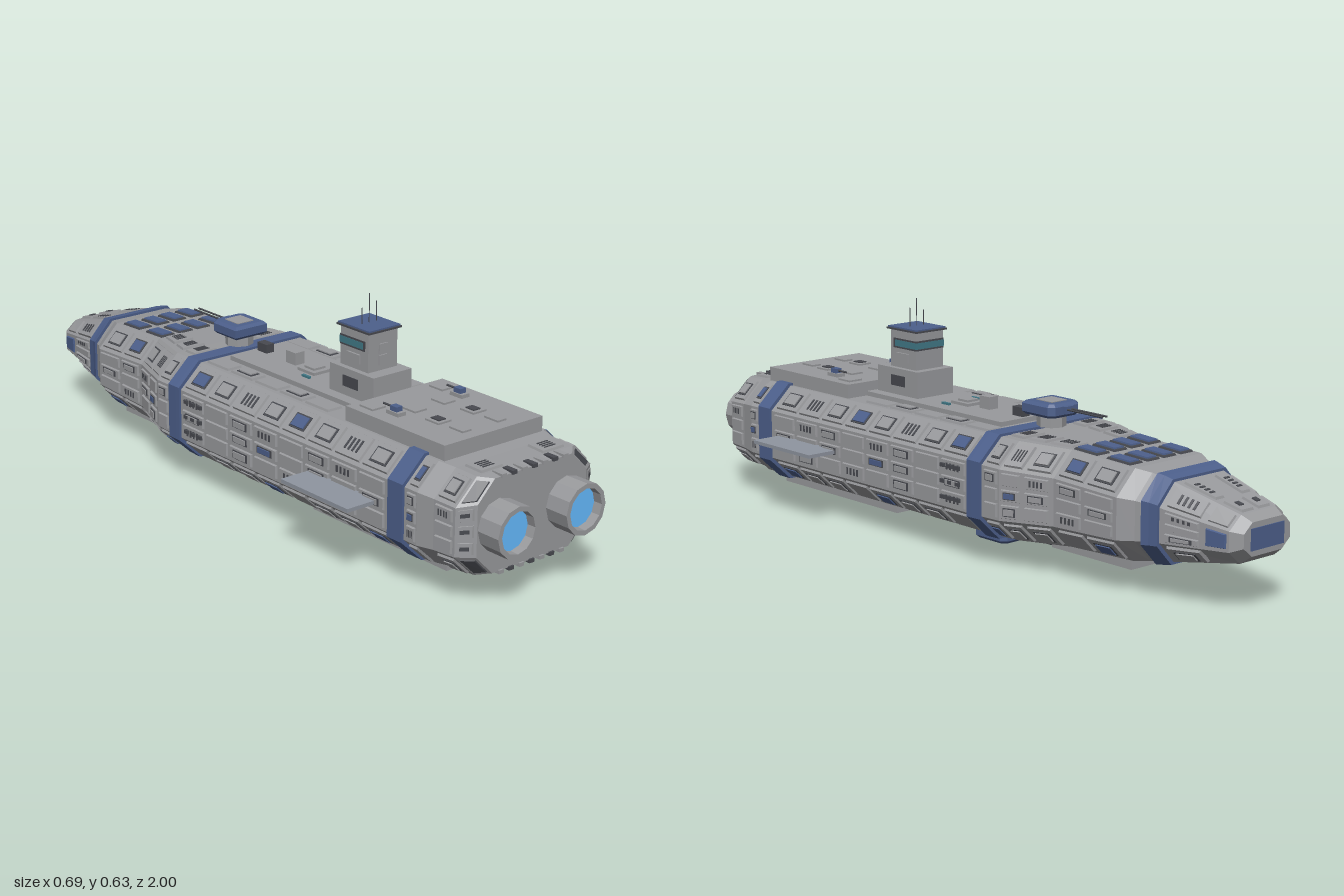
import * as THREE from 'three';
import { mergeGeometries } from 'three/addons/utils/BufferGeometryUtils.js';

const mat = (color, extra = {}) => new THREE.MeshStandardMaterial({ color, flatShading: true, ...extra });
const GREY = mat(0x999a9d), BLUE = mat(0x4d608c), DARK = mat(0x484a50), WING = mat(0x8f95a0);
const GLOW = mat(0x66bbff), TEAL = mat(0x427a88);
const NOZZLE = mat(0x999a9d, { side: THREE.DoubleSide });

// Hull stations: z, half width, bottom, top, corner cut in x, corner cut in y
const STATIONS = [
  [-1.0, 0.085, 0.157, 0.243, 0.03, 0.025], [-0.97, 0.105, 0.135, 0.258, 0.042, 0.035],
  [-0.75, 0.148, 0.1, 0.315, 0.055, 0.06], [-0.71, 0.162, 0.095, 0.322, 0.06, 0.062],
  [-0.67, 0.187, 0.09, 0.33, 0.065, 0.065], [-0.45, 0.192, 0.083, 0.34, 0.065, 0.065],
  [-0.3, 0.243, 0.078, 0.345, 0.07, 0.065], [-0.2, 0.247, 0.077, 0.347, 0.07, 0.065],
  [0.78, 0.247, 0.077, 0.347, 0.07, 0.065], [0.83, 0.237, 0.08, 0.343, 0.07, 0.065],
  [0.9, 0.232, 0.082, 0.34, 0.068, 0.065], [0.93, 0.187, 0.088, 0.336, 0.055, 0.055],
];

// Eight corners of the hull section at z, grown outwards by o
function ring(z, o = 0) {
  let i = 0;
  while (i < STATIONS.length - 2 && z > STATIONS[i + 1][0]) i++;
  const a = STATIONS[i], b = STATIONS[i + 1], t = (z - a[0]) / (b[0] - a[0]);
  let [, w, lo, hi, cx, cy] = a.map((v, k) => v + (b[k] - v) * t);
  w += o; lo -= o; hi += o;
  return [[w, lo + cy], [w, hi - cy], [w - cx, hi], [cx - w, hi],
    [-w, hi - cy], [-w, lo + cy], [cx - w, lo], [w - cx, lo]];
}

// Skin through the sections at the given z values, with end caps
function loft(zs, o = 0) {
  const pos = [], idx = [], n = zs.length;
  zs.forEach(z => ring(z, o).forEach(([x, y]) => pos.push(x, y, z)));
  for (let s = 0; s < n - 1; s++) for (let k = 0; k < 8; k++) {
    const a = s * 8 + k, b = s * 8 + (k + 1) % 8;
    idx.push(a, b, b + 8, a, b + 8, a + 8);
  }
  const e = (n - 1) * 8;
  for (let k = 1; k < 7; k++) idx.push(0, k + 1, k, e, e + k, e + k + 1);
  const g = new THREE.BufferGeometry();
  g.setAttribute('position', new THREE.Float32BufferAttribute(pos, 3));
  g.setIndex(idx);
  g.computeVertexNormals();
  return g;
}

// Raised plate with sloped rim on hull face f (0 left side, 2 top, 4 right side, 6 bottom)
function plate(f, z0, z1, u0, u1, h, rim = 0.004) {
  const g = new THREE.BoxGeometry(1, 1, 1), p = g.attributes.position;
  for (let i = 0; i < p.count; i++) {
    const up = p.getY(i) > 0, sz = Math.sign(p.getZ(i)), su = -Math.sign(p.getX(i));
    const z = (z0 + z1) / 2 + sz * ((z1 - z0) / 2 - (up ? rim : 0));
    const r = ring(z), a = r[f], b = r[(f + 1) % 8];
    const dx = b[0] - a[0], dy = b[1] - a[1], len = Math.hypot(dx, dy);
    const u = (u0 + u1) / 2 + su * ((u1 - u0) / 2 - (up ? rim / len : 0));
    const out = up ? h : -0.006;
    p.setXYZ(i, a[0] + dx * u + dy / len * out, a[1] + dy * u - dx / len * out, z);
  }
  g.computeVertexNormals();
  return g;
}

export function createModel() {
  const ship = new THREE.Group();
  ship.name = 'spaceship';
  const add = (name, geo, m = GREY, parent = ship) => {
    const mesh = new THREE.Mesh(geo, m);
    mesh.name = name;
    parent.add(mesh);
    return mesh;
  };
  // Box from min and max along each axis
  const box = (name, x0, x1, y0, y1, z0, z1, m = GREY, parent = ship) =>
    add(name, new THREE.BoxGeometry(x1 - x0, y1 - y0, z1 - z0)
      .translate((x0 + x1) / 2, (y0 + y1) / 2, (z0 + z1) / 2), m, parent);
  const rod = (name, r, len, x, y, z, alongZ, m = DARK, parent = ship) => {
    const g = new THREE.CylinderGeometry(r, r, len, 8);
    if (alongZ) g.rotateX(Math.PI / 2);
    return add(name, g.translate(x, y, z), m, parent);
  };

  add('hull', loft(STATIONS.map(s => s[0])));
  for (const [z0, z1] of [[-0.775, -0.73], [-0.235, -0.185], [0.68, 0.735]]) {
    add('blueBelt', loft([z0, ...STATIONS.map(s => s[0]).filter(z => z > z0 && z < z1), z1], 0.007), BLUE);
  }

  // Hull plating, mirrored left and right
  const plates = [], blues = [], slots = [];
  const MIRROR = { 0: 4, 1: 3, 7: 5, 2: 2, 6: 6 };
  const both = (list, f, z0, z1, u0, u1, h, rim) => {
    list.push(plate(f, z0, z1, u0, u1, h, rim));
    list.push(plate(MIRROR[f], z0, z1, 1 - u1, 1 - u0, h, rim));
  };
  // Panel with a dark-framed blue window, a vent of dark slots, or a small hatch
  function panel(f, z0, z1, u0, u1, kind) {
    both(plates, f, z0, z1, u0, u1, 0.006);
    const dz = z1 - z0, du = u1 - u0, zc = (z0 + z1) / 2;
    if (kind === 'vent') for (let k = 0; k < 4; k++) {
      const z = z0 + dz * (0.23 + 0.15 * k);
      both(slots, f, z, z + dz * 0.08, u0 + du * 0.25, u1 - du * 0.25, 0.008, 0.001);
    } else if (kind) {
      both(slots, f, zc - dz * 0.32, zc + dz * 0.32, u0 + du * 0.2, u1 - du * 0.2, 0.008, 0.001);
      both(kind === 'window' ? blues : plates, f, zc - dz * 0.27, zc + dz * 0.27, u0 + du * 0.25, u1 - du * 0.25, 0.011, 0.002);
    }
  }
  const bays = [[-0.89, -0.79], [-0.66, -0.56], [-0.55, -0.46], [-0.44, -0.37], [-0.36, -0.305], [-0.295, -0.245]];
  for (let z = -0.175; z < 0.6; z += 0.106) bays.push([z, z + 0.098]);
  bays.push([0.745, 0.78], [0.835, 0.895]);
  bays.forEach(([z0, z1], i) => {
    panel(0, z0, z1, 0.04, 0.34, ['hatch', '', 'vent', ''][i % 4]);
    panel(0, z0, z1, 0.38, 0.64, ['', 'hatch', '', 'hatch', 'window'][i % 5]);
    panel(0, z0, z1, 0.68, 0.96, ['vent', '', 'hatch'][i % 3]);
    panel(1, z0, z1, 0.1, 0.9, ['vent', 'hatch', 'window', 'hatch'][i % 4]);
    panel(7, z0, z1, 0.1, 0.9, ['hatch', 'window', '', 'hatch'][i % 4]);
    if (z0 < -0.24 || z0 > 0.8) {
      if (i !== 1 && i !== 2) panel(2, z0, z1, 0.06, 0.3, 'vent');
    } else if (z1 < 0.42) panel(2, z0, z1, 0.03, 0.18, i % 2 ? 'hatch' : '');
    if (z0 > -0.17 && z1 < 0.24) panel(6, z0, z1, 0.05, 0.24, i % 2 ? 'vent' : 'hatch');
  });
  // Rows of blue windows on the foredeck
  for (const z of [-0.605, -0.49]) for (const u of [0.02, 0.275]) {
    both(slots, 2, z - 0.043, z + 0.043, u, u + 0.205, 0.005);
    both(blues, 2, z - 0.036, z + 0.036, u + 0.025, u + 0.18, 0.009, 0.003);
  }
  // Portholes beside the middle belt
  for (const z of [-0.16, -0.13, -0.1]) for (const u of [0.16, 0.47, 0.78])
    both(slots, 0, z, z + 0.02, u, u + 0.1, 0.012, 0.002);
  // Nose windows
  both(blues, 0, -0.965, -0.905, 0.12, 0.88, 0.005);
  both(plates, 1, -0.965, -0.905, 0.1, 0.9, 0.005);
  both(plates, 2, -0.965, -0.905, 0.08, 0.45, 0.006);
  both(slots, 2, -0.945, -0.925, 0.2, 0.34, 0.009, 0.002);
  box('noseWindow', -0.06, 0.06, 0.172, 0.228, -1.003, -0.993, BLUE);
  // Recesses on the tapered stern edge
  for (const f of [1, 7]) both(slots, f, 0.903, 0.927, 0.12, 0.88, 0.003, 0.002);
  for (const u of [0.05, 0.38, 0.7]) {
    both(plates, 0, 0.903, 0.927, u, u + 0.25, 0.004, 0.002);
    both(slots, 0, 0.908, 0.922, u + 0.08, u + 0.17, 0.006, 0.001);
  }
  add('hullPlates', mergeGeometries(plates));
  add('bluePanels', mergeGeometries(blues), BLUE);
  add('darkRecesses', mergeGeometries(slots), DARK);

  // Decks and keel blocks
  box('spineDeck', -0.1, 0.1, 0.34, 0.36, -0.15, 0.43);
  box('aftDeck', -0.168, 0.168, 0.34, 0.387, 0.42, 0.79);
  box('keelBlock', -0.132, 0.132, 0.038, 0.085, 0.25, 0.77);
  box('bowKeelBlock', -0.11, 0.11, 0.06, 0.09, -0.65, -0.36);
  for (const s of [-1, 1]) {
    for (const [x, z, w] of [[0.06, 0.65, 0.045], [0.06, 0.73, 0.03], [0.12, 0.47, 0.045], [0.05, 0.55, 0.04]])
      box('deckHatch', s * x - w / 2, s * x + w / 2, 0.38, 0.392, z - 0.025, z + 0.025);
    box('deckHatchLid', s * 0.06 - 0.012, s * 0.06 + 0.012, 0.39, 0.395, 0.635, 0.665, DARK);
    box('deckGunMount', s * 0.11 - 0.014, s * 0.11 + 0.014, 0.385, 0.397, 0.525, 0.57);
    box('deckGun', s * 0.11 - 0.01, s * 0.11 + 0.01, 0.397, 0.41, 0.535, 0.56, BLUE);
    rod('deckGunBarrel', 0.003, 0.04, s * 0.11, 0.404, 0.52, true);
    box('spineLight', s * 0.055 - 0.004, s * 0.055 + 0.004, 0.36, 0.366, 0.11, 0.14, TEAL);
    box('wing', Math.min(s * 0.24, s * 0.345), Math.max(s * 0.24, s * 0.345), 0.207, 0.217, 0.375, 0.635, WING);
    for (let k = 0; k < 4; k++) {
      const z = k * 0.022;
      box('keelVent', s * 0.05 - 0.02, s * 0.05 + 0.02, 0.036, 0.04, 0.55 + z, 0.56 + z, DARK);
      box('bowKeelVent', s * 0.05 - 0.02, s * 0.05 + 0.02, 0.058, 0.062, -0.54 + z, -0.53 + z, DARK);
    }
  }
  box('spineHatch', -0.033, 0.033, 0.36, 0.368, 0.06, 0.13);
  box('spineHatchLid', -0.02, 0.02, 0.368, 0.374, 0.075, 0.115);
  box('spineLocker', -0.016, 0.016, 0.36, 0.395, -0.01, 0.03);
  box('spineSensor', -0.013, 0.013, 0.36, 0.385, -0.14, -0.1, DARK);
  box('keelSensor', -0.012, 0.012, 0.018, 0.04, 0.36, 0.39, DARK);
  rod('keelSensorProbe', 0.004, 0.04, 0, 0.023, 0.35, true);

  // Command tower
  const tower = new THREE.Group();
  tower.name = 'commandTower';
  ship.add(tower);
  box('towerBase', -0.066, 0.066, 0.355, 0.435, 0.235, 0.41, GREY, tower);
  box('towerBody', -0.05, 0.05, 0.435, 0.543, 0.26, 0.37, GREY, tower);
  box('roofEdge', -0.057, 0.057, 0.542, 0.547, 0.25, 0.38, DARK, tower);
  box('towerRoof', -0.054, 0.054, 0.547, 0.551, 0.253, 0.377, BLUE, tower);
  box('windowFrame', -0.051, 0.051, 0.49, 0.518, 0.258, 0.358, DARK, tower);
  box('towerWindows', -0.052, 0.052, 0.495, 0.513, 0.257, 0.35, TEAL, tower);
  for (const y of [0.45, 0.481]) box('towerDoor', -0.014, 0.014, y, y + 0.027, 0.37, 0.374, GREY, tower);
  for (const s of [-1, 1]) {
    box('towerPod', s * 0.052 - 0.004, s * 0.052 + 0.004, 0.452, 0.478, 0.29, 0.34, GREY, tower);
    box('baseVent', s * 0.066 - 0.002, s * 0.066 + 0.002, 0.385, 0.415, 0.29, 0.35, DARK, tower);
  }
  for (const [x, top] of [[-0.025, 0.595], [0, 0.63], [0.025, 0.605]])
    rod('antenna', 0.0012, top - 0.55, x, (top + 0.55) / 2, 0.315, false, DARK, tower);

  // Twin gun turrets; s is 1 above the hull and -1 below it
  function turret(name, y, z, s) {
    const g = new THREE.Group();
    g.name = name;
    g.position.set(0, y, z);
    ship.add(g);
    rod('turretRing', 0.04, 0.04, 0, -s * 0.03, 0, false, GREY, g);
    const shape = new THREE.Shape([[-0.048, 0.048], [-0.048, -0.04], [-0.038, -0.05], [0.038, -0.05], [0.048, -0.04], [0.048, 0.048]]
      .map(([a, b]) => new THREE.Vector2(a, -b)));
    const head = new THREE.ExtrudeGeometry(shape, { depth: 0.022, bevelThickness: 0.008, bevelSize: 0.008, bevelSegments: 1 });
    add('turretHead', head.rotateX(-Math.PI / 2).translate(0, -0.011, 0), BLUE, g);
    box('turretHatch', -0.028, 0.028, s * 0.019 - 0.002, s * 0.019 + 0.002, -0.03, 0.03, s > 0 ? GREY : BLUE, g);
    for (const x of [-0.008, 0.008]) rod('gunBarrel', 0.0028, 0.16, x, 0.004, -0.12, true, DARK, g);
    box('gunMantlet', -0.016, 0.016, -0.008, 0.012, -0.07, -0.05, BLUE, g);
  }
  turret('topTurret', 0.402, -0.24, 1);
  turret('bottomTurret', 0.023, -0.055, -1);

  // Engines: nozzle with a glowing disc inside
  for (const s of [-1, 1]) {
    const profile = [[0.069, 0.92], [0.069, 1], [0.056, 1], [0.054, 0.96]];
    const nozzle = new THREE.LatheGeometry(profile.map(([r, z]) => new THREE.Vector2(r, z)), 12);
    add('engineNozzle', nozzle.rotateX(Math.PI / 2).translate(s * 0.116, 0.213, 0), NOZZLE);
    add('engineGlow', new THREE.CircleGeometry(0.056, 32).translate(s * 0.116, 0.213, 0.975), GLOW);
  }
  // Clamps along the stern edge
  for (let k = -3; k <= 3; k++) for (const y of [0.338, 0.086])
    box('sternClamp', k * 0.035 - 0.008, k * 0.035 + 0.008, y - 0.005, y + 0.005, 0.9, 0.935, k % 2 ? GREY : DARK);
  return ship;
}
